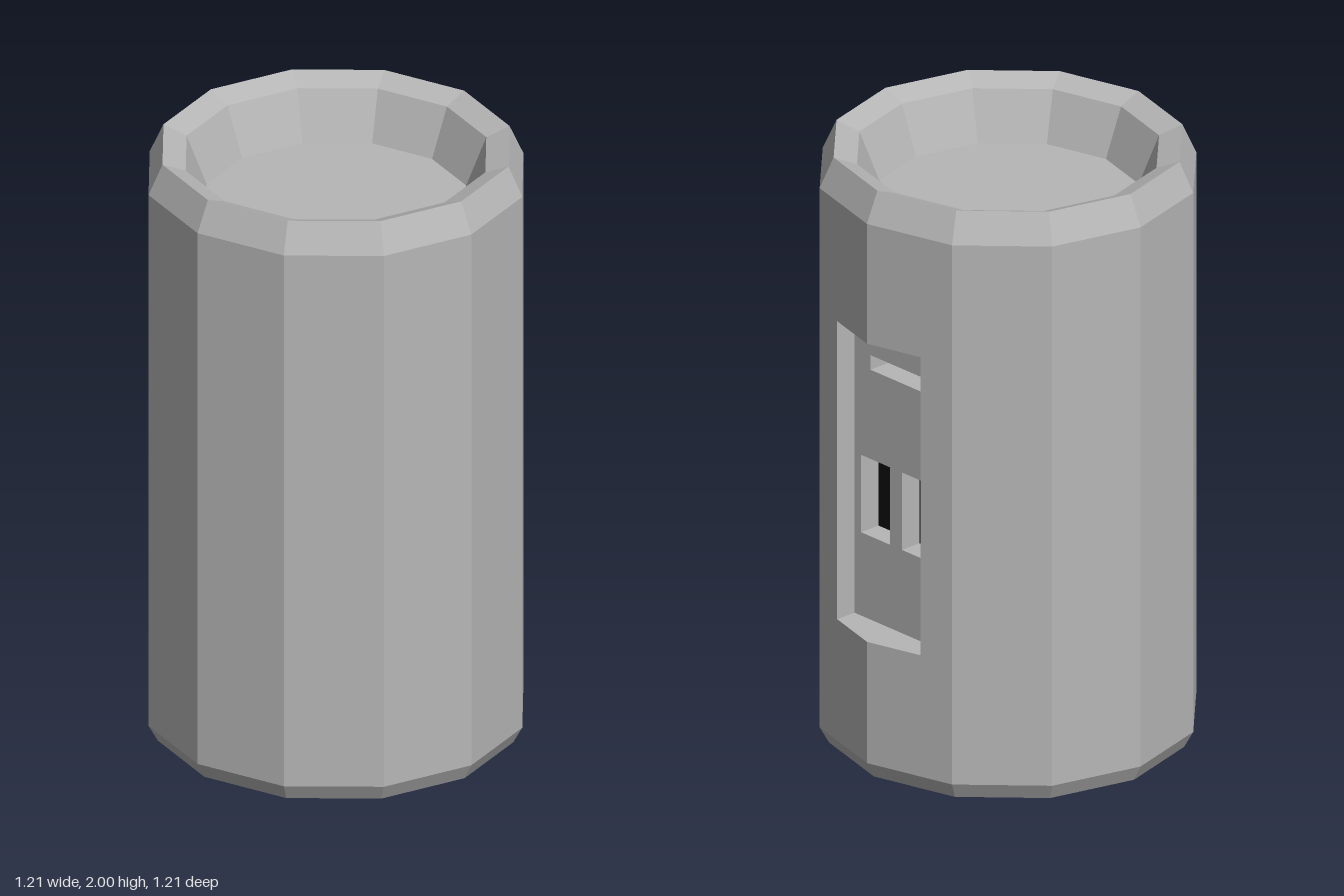
import * as THREE from 'three';

const SIDES = 12, R = 0.605, STEP = Math.PI * 2 / SIDES;
const TAN = Math.tan(STEP / 2);            // slope of the facets beside the +x corner
const LOW = 0.055, HIGH = 1.9;             // straight part of the wall
const P = { w: 0.19, y0: 0.47, y1: 1.49, x: 0.48 }; // side pocket

export function createModel() {
  const grey = new THREE.MeshStandardMaterial({ color: 0xb6b6b6, side: THREE.DoubleSide });
  grey.name = 'grey shell';
  const black = new THREE.MeshStandardMaterial({ color: 0x0d0d0d, side: THREE.DoubleSide });
  black.name = 'black socket';

  const model = new THREE.Group();
  model.name = 'canister';

  // Facets every geometry so edges stay crisp
  const add = (name, geometry, material = grey, parent = model) => {
    const g = geometry.index ? geometry.toNonIndexed() : geometry;
    g.computeVertexNormals();
    const mesh = new THREE.Mesh(g, material);
    mesh.name = name;
    parent.add(mesh);
    return mesh;
  };
  const lathe = (pts, segs = SIDES, start = 0) => new THREE.LatheGeometry(
    pts.map(p => new THREE.Vector2(...p)), segs, start, segs * STEP);
  const shape = pts => new THREE.Shape(pts.map(p => new THREE.Vector2(...p)));
  const rect = (u0, u1, y0, y1) => [[u0, y0], [u1, y0], [u1, y1], [u0, y1]];
  const quad = (...c) => {
    const g = new THREE.BufferGeometry();
    const order = [0, 1, 2, 0, 2, 3].flatMap(i => c[i]);
    g.setAttribute('position', new THREE.Float32BufferAttribute(order, 3));
    return g;
  };
  // Flat drawing (u, y) stood up facing +x, with u running towards -z
  const facing = (s, x) => new THREE.ShapeGeometry(s).rotateY(Math.PI / 2).translate(x, 0, 0);

  // Base, top rim with sunken tray, and the ten plain facets
  add('base', lathe([[0, 0], [0.575, 0], [R, LOW]]));
  add('rimAndTray', lathe([[R, HIGH], [0.56, 2], [0.485, 1.97], [0.42, 1.81], [0, 1.81]]));
  add('wall', lathe([[R, LOW], [R, HIGH]], SIDES - 2, 4 * STEP));

  // Two facets notched around the pocket
  const edge = R * Math.sin(STEP);
  for (const s of [1, -1]) {
    const g = facing(shape([[0, LOW], [s * edge, LOW], [s * edge, HIGH], [0, HIGH],
      [0, P.y1], [s * P.w, P.y1], [s * P.w, P.y0], [0, P.y0]]), 0);
    const pos = g.attributes.position;
    for (let i = 0; i < pos.count; i++) pos.setX(i, R - Math.abs(pos.getZ(i)) * TAN);
    add(s > 0 ? 'notchedFacetBack' : 'notchedFacetFront', g);
  }

  // Pocket sides, sill and ceiling
  const pocket = new THREE.Group();
  pocket.name = 'pocket';
  model.add(pocket);
  const lip = R - P.w * TAN;
  for (const s of [1, -1]) {
    const z = s * P.w;
    const corners = [[P.x, P.y0, z], [lip, P.y0, z], [lip, P.y1, z], [P.x, P.y1, z]];
    add('pocketSide', quad(...(s > 0 ? corners.reverse() : corners)), grey, pocket);
  }
  const ledge = shape([[P.x, -P.w], [lip, -P.w], [R, 0], [lip, P.w], [P.x, P.w]]);
  add('pocketSill', new THREE.ShapeGeometry(ledge).rotateX(-Math.PI / 2).translate(0, P.y0, 0), grey, pocket);
  add('pocketCeiling', new THREE.ShapeGeometry(ledge).rotateX(Math.PI / 2).translate(0, P.y1, 0), grey, pocket);

  // Pocket floor pierced by one slot and two sockets, each with a black end
  const recesses = [
    { name: 'slot', u0: -0.117, u1: 0.117, y0: 1.325, y1: 1.375, depth: 0.15 },
    { name: 'socketFront', u0: -0.16, u1: -0.027, y0: 0.755, y1: 1.02, depth: 0.075 },
    { name: 'socketBack', u0: 0.027, u1: 0.16, y0: 0.755, y1: 1.02, depth: 0.075 },
  ];
  const floor = shape(rect(-P.w, P.w, P.y0, P.y1));
  for (const { name, u0, u1, y0, y1, depth } of recesses) {
    const outline = rect(u0, u1, y0, y1), inner = P.x - depth;
    floor.holes.push(shape(outline));
    const group = new THREE.Group();
    group.name = name;
    pocket.add(group);
    outline.forEach(([u, y], i) => {
      const [v, t] = outline[(i + 1) % 4];
      add(name + 'Wall', quad([P.x, y, -u], [P.x, t, -v], [inner, t, -v], [inner, y, -u]), grey, group);
    });
    add(name + 'End', facing(shape(outline), inner), black, group);
  }
  add('pocketFloor', facing(floor, P.x), grey, pocket);

  return model;
}
